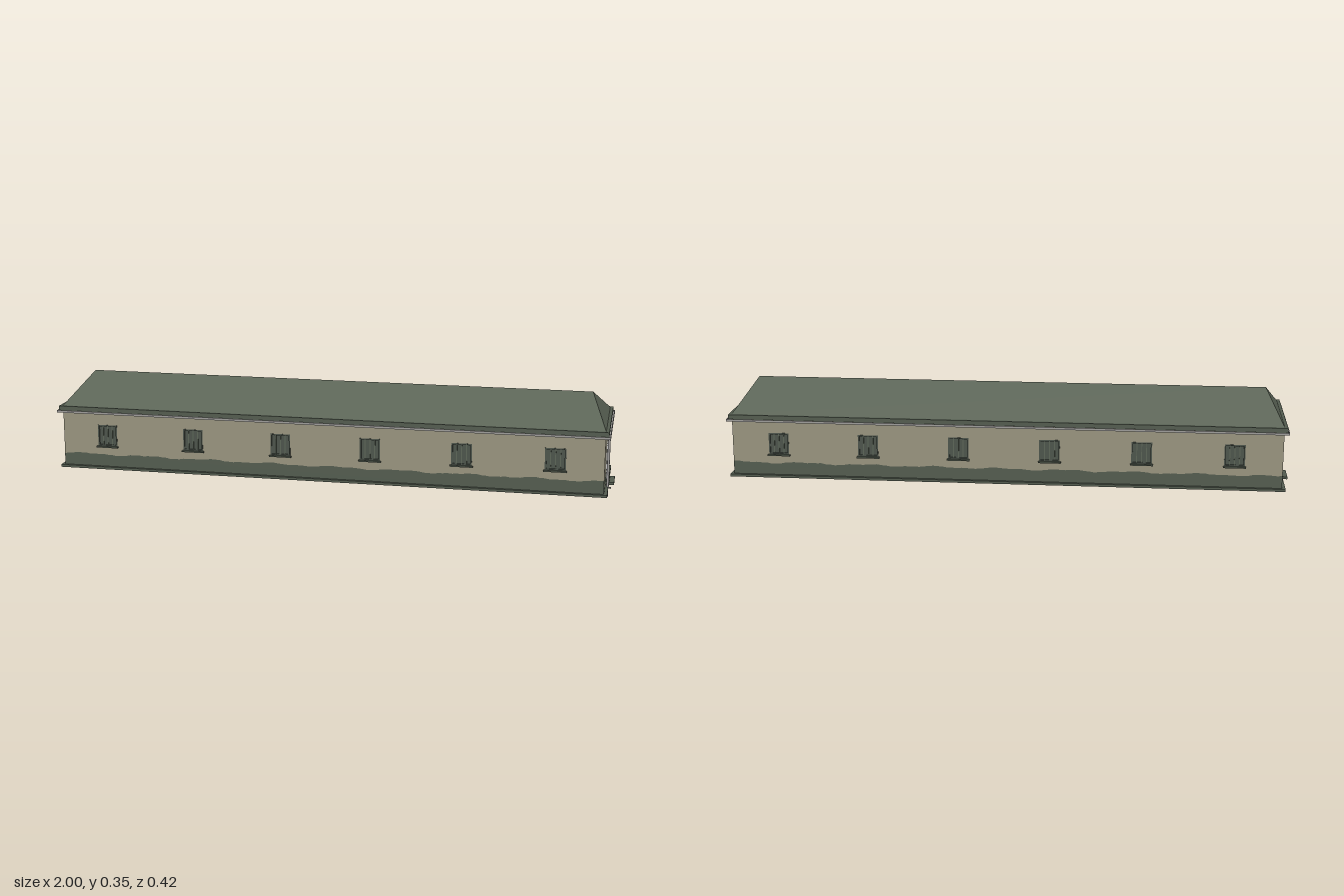
import * as THREE from 'three';

const mat = (name, color, double) => {
  const m = new THREE.MeshStandardMaterial({ color });
  m.name = name;
  if (double) m.side = THREE.DoubleSide;
  return m;
};

export function createModel() {
  const root = new THREE.Group();
  root.name = 'longHouse';
  const body = new THREE.Group();
  body.name = 'building';
  body.position.z = 0.002;
  root.add(body);

  const plaster = mat('beigePlaster', 0x97927d);
  const green = mat('roofGreen', 0x5b6456);
  const darkGreen = mat('baseGreen', 0x525b4e);
  const pale = mat('paleGrey', 0xbfbfbf, true);
  const metal = mat('gutterGrey', 0x9c9a98);
  const shade = mat('windowGreen', 0x4b534a);

  const HX = 0.97, HZ = 0.191;          // half size of the walls
  const Y0 = 0.03, Y1 = 0.24, T = 0.008; // wall bottom, top, thickness

  const add = (parent, name, geo, material, x = 0, y = 0, z = 0) => {
    const m = new THREE.Mesh(geo, material);
    m.name = name;
    m.position.set(x, y, z);
    parent.add(m);
    return m;
  };
  const box = (parent, name, w, h, d, material, x, y, z) =>
    add(parent, name, new THREE.BoxGeometry(w, h, d), material, x, y, z);
  const rect = (P, x0, y0, x1, y1) => {
    const p = new P();
    p.moveTo(x0, y0);
    p.lineTo(x1, y0);
    p.lineTo(x1, y1);
    p.lineTo(x0, y1);
    p.closePath();
    return p;
  };

  // Horizontal rectangular ring
  const ring = (name, ox, oz, ix, iz, y, h, material) => {
    const s = rect(THREE.Shape, -ox, -oz, ox, oz);
    s.holes.push(rect(THREE.Path, -ix, -iz, ix, iz));
    const g = new THREE.ExtrudeGeometry(s, { depth: h, bevelEnabled: false });
    g.rotateX(-Math.PI / 2);
    return add(body, name, g, material, 0, y, 0);
  };

  // Painted band with an uneven upper edge
  const paintBand = (parent, half, z, seed) => {
    const s = new THREE.Shape();
    s.moveTo(-half, Y0);
    s.lineTo(half, Y0);
    const n = Math.round(half * 120);
    for (let i = 0; i <= n; i++) {
      const x = half - (2 * half * i) / n;
      const wave = 0.0025 * Math.sin(x * 27 + seed) + 0.0015 * Math.sin(x * 61 + seed * 2)
        + 0.0008 * Math.sin(x * 190);
      s.lineTo(x, 0.081 + wave);
    }
    s.closePath();
    add(parent, 'paintBand', new THREE.ShapeGeometry(s), darkGreen, 0, 0, z);
  };

  // Long walls with six windows each
  const WW = 0.036, WY0 = 0.112, WY1 = 0.19;
  const windowXs = [-2.5, -1.5, -0.5, 0.5, 1.5, 2.5].map(i => i * 0.3215);
  for (const back of [false, true]) {
    const side = new THREE.Group();
    side.name = back ? 'backWall' : 'frontWall';
    side.rotation.y = back ? Math.PI : 0;
    body.add(side);

    const s = rect(THREE.Shape, -HX, Y0, HX, Y1);
    windowXs.forEach(x => s.holes.push(rect(THREE.Path, x - WW, WY0, x + WW, WY1)));
    add(side, 'wall', new THREE.ExtrudeGeometry(s, { depth: T, bevelEnabled: false }),
      plaster, 0, 0, HZ - T);
    add(side, 'innerLining', new THREE.ShapeGeometry(s), pale, 0, 0, HZ - T - 0.001);
    paintBand(side, HX, HZ + 0.001, back ? 2 : 0.5);

    for (const x of windowXs) {
      const win = new THREE.Group();
      win.name = 'window';
      win.position.set(x, (WY0 + WY1) / 2, HZ);
      side.add(win);
      const h = WY1 - WY0;
      box(win, 'pane', 2 * WW, h, 0.002, shade, 0, 0, -0.005);
      box(win, 'innerPane', 2 * WW, h, 0.001, pale, 0, 0, -0.0067);
      for (const k of [-1, 1]) {
        box(win, 'frameSide', 0.005, h, 0.005, shade, k * (WW - 0.0025), 0, -0.0015);
        box(win, 'frameRail', 2 * WW, 0.005, 0.005, shade, 0, k * (h / 2 - 0.0025), -0.0015);
      }
      for (const k of [-1, 0, 1])
        box(win, 'bar', 0.003, h, 0.003, green, k * 0.017, 0, -0.0025);
      box(win, 'sill', 2 * WW + 0.008, 0.005, 0.012, darkGreen, 0, -h / 2 - 0.002, 0.004);
    }
  }

  // End walls with door, step and downpipe
  for (const k of [-1, 1]) {
    const end = new THREE.Group();
    end.name = k > 0 ? 'leftEnd' : 'rightEnd';
    end.rotation.y = k * Math.PI / 2;
    body.add(end);
    // local x runs along the depth of the house
    const lx = z => -k * z;
    box(end, 'wall', 2 * (HZ - T), Y1 - Y0, T, plaster, 0, (Y0 + Y1) / 2, HX - T / 2);
    box(end, 'innerLining', 2 * (HZ - T), Y1 - Y0, 0.001, pale, 0, (Y0 + Y1) / 2, HX - T - 0.001);
    paintBand(end, HZ, HX + 0.001, 1 + k);

    box(end, 'door', 0.067, 0.12, 0.004, pale, lx(-0.008), 0.107, HX + 0.001);
    for (let i = 0; i < 4; i++)
      box(end, 'ventSlat', 0.016, 0.002, 0.001, darkGreen, lx(-0.008), 0.066 + i * 0.0048, HX + 0.0035);
    box(end, 'doorSill', 0.067, 0.011, 0.014, darkGreen, lx(-0.008), 0.042, HX + 0.006);
    box(end, 'step', 0.086, 0.009, 0.024, darkGreen, lx(-0.008), 0.0325, 0.988);

    const pipe = new THREE.CylinderGeometry(0.0045, 0.0045, 0.206, 10);
    add(end, 'downpipe', pipe, metal, lx(0.09), 0.134, 0.979);
    box(end, 'pipeOutlet', 0.009, 0.031, 0.011, metal, lx(0.09), 0.0155, 0.976);
    box(end, 'pipeBracket', 0.009, 0.004, 0.026, metal, lx(0.09), 0.033, 0.979);
  }

  // Base ledge, ceiling, eaves and gutter
  ring('baseLedge', HX + 0.012, HZ + 0.012, HX - T, HZ - T, 0.028, 0.009, darkGreen);
  const ceiling = new THREE.PlaneGeometry(2 * (HX - T), 2 * (HZ - T));
  ceiling.rotateX(Math.PI / 2);
  add(body, 'ceiling', ceiling, pale, 0, Y1 - 0.003, 0);
  box(body, 'eavesBoard', 2 * 0.981, 0.016, 2 * 0.203, darkGreen, 0, 0.248, 0);
  ring('gutterFloor', 0.987, 0.21, HX, HZ, 0.233, 0.003, metal);
  ring('gutterRim', 0.987, 0.21, 0.984, 0.207, 0.233, 0.008, metal);

  // Hipped roof
  const a = [-HX, 0, HZ], b = [HX, 0, HZ], c = [HX, 0, -HZ], d = [-HX, 0, -HZ];
  const e = [-0.914, 0.095, 0], f = [0.914, 0.095, 0];
  const roof = new THREE.BufferGeometry();
  const faces = [a, b, f, a, f, e, c, d, e, c, e, f, b, c, f, d, a, e];
  roof.setAttribute('position', new THREE.Float32BufferAttribute(faces.flat(), 3));
  roof.computeVertexNormals();
  add(body, 'roof', roof, green, 0, 0.256, 0);

  return root;
}
